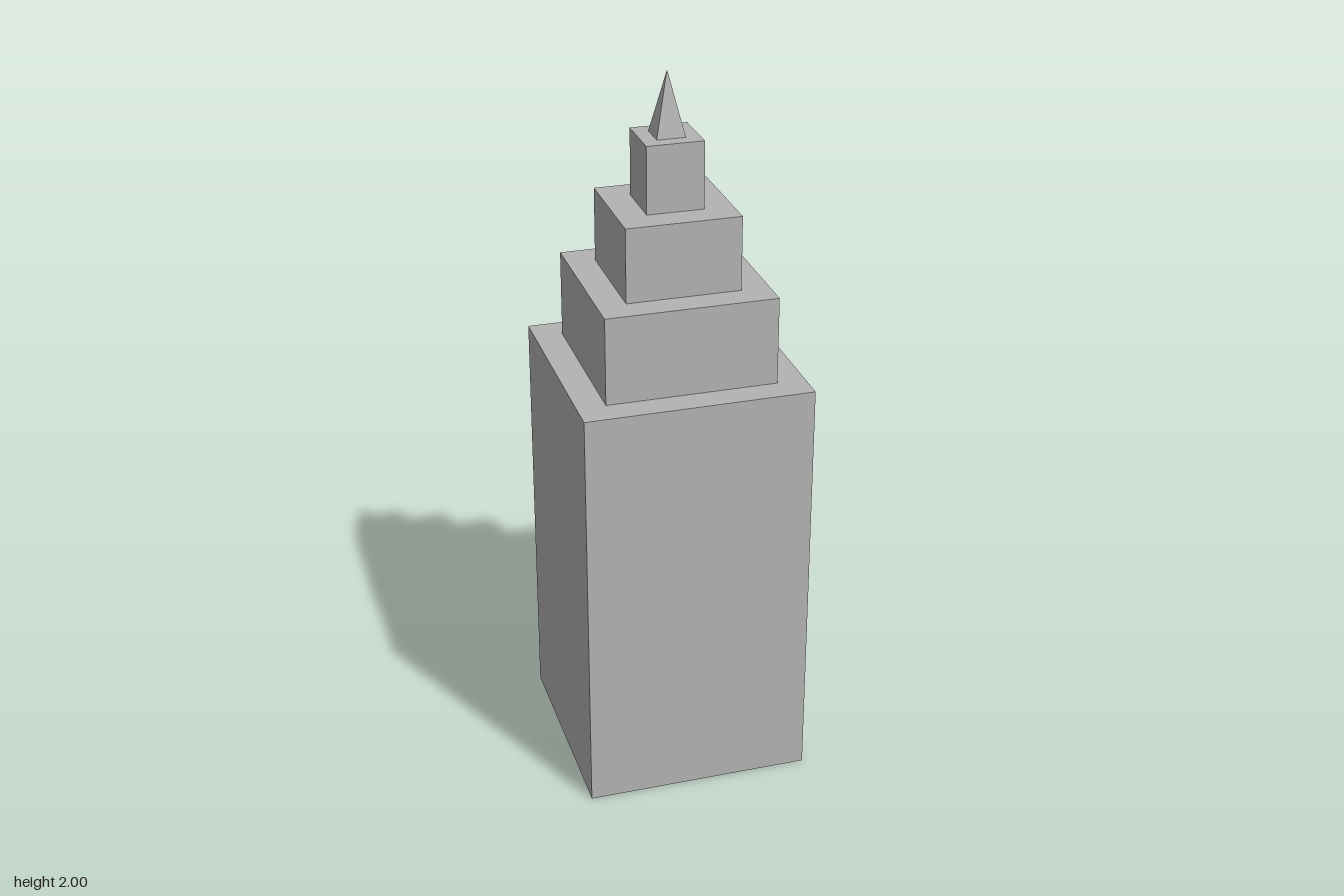
import * as THREE from 'three';

export function createModel() {
  const group = new THREE.Group();
  const stone = new THREE.MeshStandardMaterial({ color: 0xb3b3b3 });
  stone.name = 'grey stone';

  // Stepped tower: each tier is [name, width, top height], stacked upwards
  const tiers = [
    ['mainBlock', 0.63, 1.19],
    ['lowerSetback', 0.472, 1.435],
    ['middleSetback', 0.315, 1.642],
    ['upperSetback', 0.157, 1.828],
  ];
  let base = 0;
  for (const [name, width, top] of tiers) {
    const tier = new THREE.Mesh(new THREE.BoxGeometry(width, top - base, width), stone);
    tier.name = name;
    tier.position.y = (base + top) / 2;
    group.add(tier);
    base = top;
  }

  // Four-sided spire, turned so its sides line up with the tiers
  const spireHeight = 2 - base;
  const spireGeometry = new THREE.ConeGeometry(0.0785 / Math.SQRT2, spireHeight, 4)
    .rotateY(Math.PI / 4)
    .toNonIndexed();
  spireGeometry.computeVertexNormals();
  const spire = new THREE.Mesh(spireGeometry, stone);
  spire.name = 'spire';
  spire.position.y = base + spireHeight / 2;
  group.add(spire);

  return group;
}
